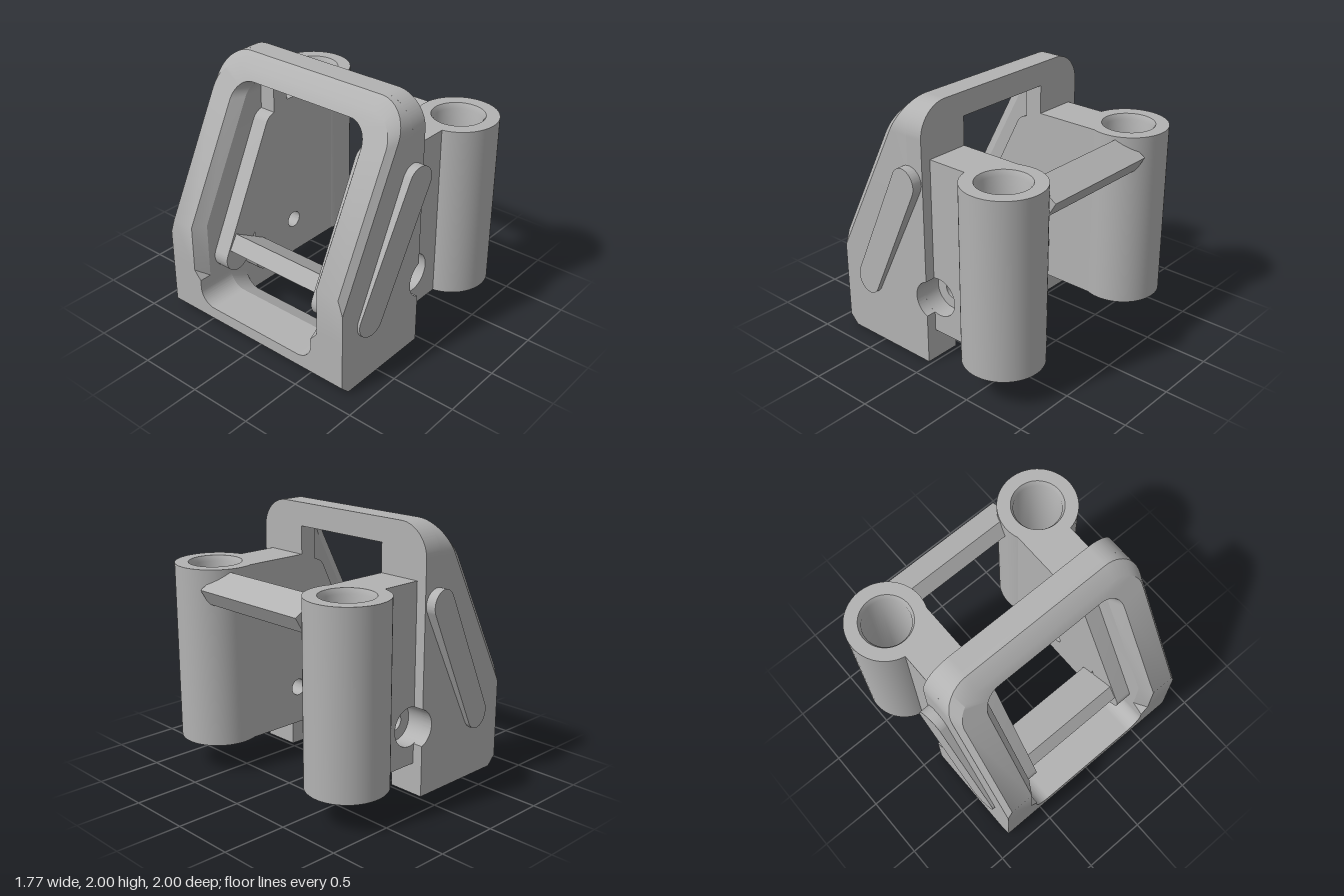
import * as THREE from 'three';
import { toCreasedNormals } from 'three/addons/utils/BufferGeometryUtils.js';

export function createModel() {
  const group = new THREE.Group();
  const grey = new THREE.MeshStandardMaterial({ color: 0xb2b2b2 });
  grey.name = 'plain grey';

  const add = (name, geo) => {
    const mesh = new THREE.Mesh(toCreasedNormals(geo, 0.5), grey);
    mesh.name = name;
    group.add(mesh);
    return mesh;
  };
  const shapeOf = (pts) => new THREE.Shape(pts.map((p) => new THREE.Vector2(...p)));
  const extrude = (shape, depth) =>
    new THREE.ExtrudeGeometry(shape, { depth, bevelEnabled: false, curveSegments: 24 });
  // Slab with an x-y outline, between two depths on side s
  const slab = (shape, z0, z1, s = 1) => extrude(shape, z1 - z0).translate(0, 0, s > 0 ? z0 : -z1);
  // Slab with a z-y outline (symmetric in z), running along x
  const slabX = (shape, x0, x1) => extrude(shape, x1 - x0).rotateY(Math.PI / 2).translate(x0, 0, 0);
  const circle = (x, y, r) => new THREE.Path().absarc(x, y, r, 0, Math.PI * 2, true);

  // --- Frame: cross-sections swept up one leg, over the top and down the other
  const slope = (y) => -0.89 + (y - 0.8) * 0.518;
  const faceX = (y) => (y < 0.07 ? -0.82 - y : Math.max(-0.89, slope(y)));
  const edgeX = (y) => (y < 0.07 ? -0.82 - y : Math.max(-0.89, slope(y) + 0.06));
  const backX = -0.17;
  const section = (O, I, H, R) => [
    [backX, O[1], O[0]], [edgeX(O[1]), O[1], O[0]], [faceX(I[1]), I[1], I[0]],
    [faceX(H[1]), H[1], H[0]], [faceX(R[1]) + 0.1, R[1], R[0]], [backX, R[1], R[0]],
  ];
  const half = [];
  for (const [y, h, yo] of [[0, 0.55], [0.07, 0.55], [0.36, 0.55], [0.43, 0.61], [0.8, 0.61, 0.684]]) {
    half.push(section([0.84, yo ?? y], [0.8, y], [h, y], [0.55, y]));
  }
  for (let i = 0; i <= 12; i++) {
    const a = (i / 12) * Math.PI / 2;
    const arc = (z, y, r) => [z + r * Math.cos(a), y + r * Math.sin(a)];
    half.push(section(arc(0.6, 1.76, 0.24), arc(0.6, 1.72, 0.2), arc(0.45, 1.68, 0.16), arc(0.42, 1.69, 0.13)));
  }
  const mirrored = half.map((s) => s.map(([x, y, z]) => [x, y, -z])).reverse();
  const ribs = [...half, ...mirrored];
  const n = 6;
  const index = [];
  for (let i = 0; i < ribs.length - 1; i++) {
    for (let j = 0; j < n; j++) {
      const a = i * n + j, b = i * n + (j + 1) % n;
      index.push(a, a + n, b + n, a, b + n, b);
    }
  }
  const last = (ribs.length - 1) * n;
  for (let j = 1; j < n - 1; j++) index.push(0, j, j + 1, last, last + j + 1, last + j);
  const frameGeo = new THREE.BufferGeometry();
  frameGeo.setAttribute('position', new THREE.Float32BufferAttribute(ribs.flat(2), 3));
  frameGeo.setIndex(index);
  add('frame', frameGeo);

  // Rear arch with the narrower opening
  const arch = new THREE.Shape();
  arch.moveTo(0.84, 1.2);
  arch.lineTo(0.84, 1.76);
  arch.absarc(0.6, 1.76, 0.24, 0, Math.PI / 2, false);
  arch.absarc(-0.6, 1.76, 0.24, Math.PI / 2, Math.PI, false);
  for (const p of [[-0.84, 1.2], [-0.42, 1.2], [-0.42, 1.82], [0.42, 1.82], [0.42, 1.2]]) arch.lineTo(...p);
  add('rearArch', slabX(arch, backX, -0.03));

  // --- Base bridge between the legs, with a filleted, sloping floor
  add('baseBridge', slab(shapeOf([[-0.82, 0], [-0.4, 0], [-0.4, 0.08], [-0.89, 0.08], [-0.89, 0.07]]), -0.55, 0.55));
  const floor = new THREE.Shape();
  floor.moveTo(-0.55, 0.08);
  floor.lineTo(0.55, 0.08);
  floor.lineTo(0.55, 0.295);
  floor.absarc(0.42, 0.295, 0.13, 0, -Math.PI / 2, true);
  floor.absarc(-0.42, 0.295, 0.13, -Math.PI / 2, -Math.PI, true);
  add('floor', slabX(floor, -0.89, -0.57));
  const rampGeo = slabX(floor, -0.57, -0.4);
  const rp = rampGeo.attributes.position;
  for (let i = 0; i < rp.count; i++) {
    if (rp.getX(i) > -0.5 && rp.getY(i) > 0.1) rp.setY(i, rp.getY(i) - 0.084);
  }
  add('floorRamp', rampGeo);

  // Slanted rounded bar outline shared by the outer ribs and inner guides
  const A = [-0.615, 0.5], B = [-0.155, 1.43], r = 0.115;
  const lean = Math.atan2(B[1] - A[1], B[0] - A[0]);
  const slot = new THREE.Shape();
  slot.absarc(...B, r, lean - Math.PI / 2, lean + Math.PI / 2, false);
  slot.absarc(...A, r, lean + Math.PI / 2, lean + Math.PI * 1.5, false);

  // Arm outline, with a screw hole of the given radius
  const hx = 0.02, hy = 0.535;
  const armShape = (holeRadius) => {
    const s = new THREE.Shape();
    s.moveTo(0.38, 0.24);
    s.lineTo(0.38, 1.6);
    s.lineTo(-0.1, 1.6);
    s.lineTo(-0.15, 1.3);
    s.lineTo(-0.42, 0.75);
    s.lineTo(-0.42, 0.36);
    s.absarc(-0.3, 0.36, 0.12, Math.PI, Math.PI * 1.5, false);
    s.holes.push(circle(hx, hy, holeRadius));
    return s;
  };

  // Rear leg strip with the counterbore cut into its edge
  const bore = 0.15;
  const bite = Math.acos((-0.03 - hx) / bore);
  const legShape = new THREE.Shape();
  legShape.moveTo(backX, 0);
  legShape.lineTo(-0.03, 0);
  legShape.absarc(hx, hy, bore, -bite, bite - Math.PI * 2 + Math.PI * 2 - 2 * Math.PI, true);
  legShape.lineTo(-0.03, 1.2);
  legShape.lineTo(backX, 1.2);

  for (const s of [1, -1]) {
    const side = s > 0 ? 'left' : 'right';
    add(side + 'RearLeg', slab(legShape, 0.62, 0.84, s));
    add(side + 'RearLegFoot', slab(shapeOf([[backX, 0], [-0.03, 0], [-0.03, 0.3], [backX, 0.3]]), 0.55, 0.62, s));
    add(side + 'ArmInner', slab(armShape(0.065), 0.42, 0.62, s));
    add(side + 'ArmOuter', slab(armShape(bore), 0.62, 0.76, s));
    add(side + 'ArmWeb', new THREE.BoxGeometry(0.14, 1.36, 0.09)).position.set(0.43, 0.92, s * 0.465);
    add(side + 'InnerGuide', slab(slot, 0.42, 0.6, s));

    // Outer rib grows thicker towards the rear
    const ribGeo = slab(slot, 0.8, 0.9, s);
    const p = ribGeo.attributes.position;
    for (let i = 0; i < p.count; i++) {
      if (Math.abs(p.getZ(i)) > 0.85) p.setZ(i, s * (0.86 + (p.getX(i) + 0.73) * 0.086));
    }
    add(side + 'OuterRib', ribGeo);

    // Hollow knuckle with countersunk ends
    const profile = [[0.18, 0.28], [0.2, 0.24], [0.3, 0.24], [0.3, 1.6], [0.2, 1.6], [0.18, 1.56], [0.18, 0.28]];
    const knuckle = new THREE.LatheGeometry(profile.map((q) => new THREE.Vector2(...q)), 64);
    add(side + 'Knuckle', knuckle).position.set(0.585, 0, s * 0.7);
  }

  // --- Tilted cross bars
  add('lowerCrossBar', slab(shapeOf([[-0.33, 0.53], [-0.62, 0.7], [-0.69, 0.585], [-0.4, 0.42]]), -0.44, 0.44));
  add('upperCrossBar', slab(shapeOf([[0.87, 1.46], [0.67, 1.575], [0.6, 1.46], [0.8, 1.345]]), -0.51, 0.51));

  return group;
}
